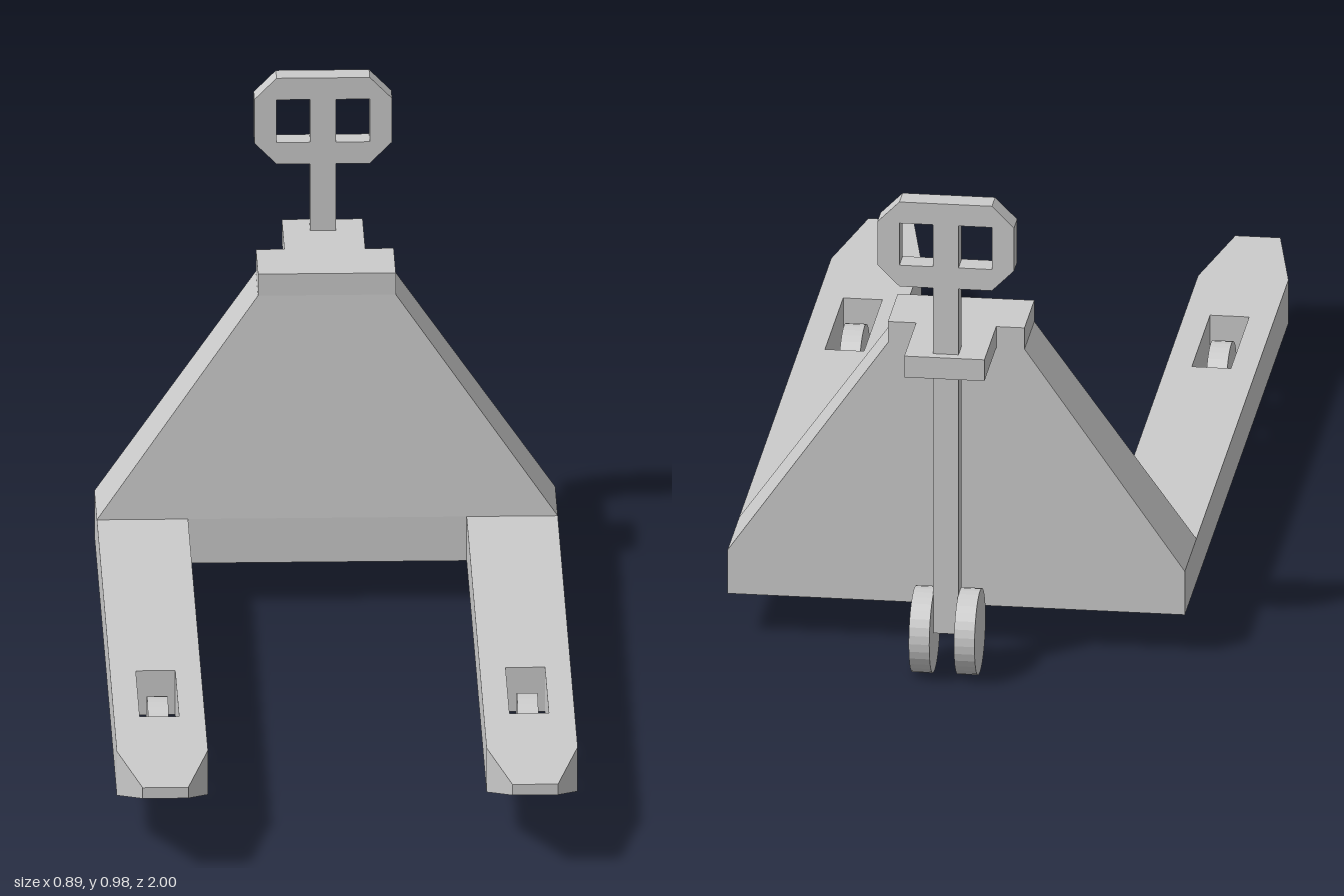
import * as THREE from 'three';

const material = new THREE.MeshStandardMaterial({ color: 0xcccccc, flatShading: true });

function add(parent, name, geometry) {
  const mesh = new THREE.Mesh(geometry, material);
  mesh.name = name;
  parent.add(mesh);
  return mesh;
}

// Box given by its limits on each axis
function block([x0, x1], [y0, y1], [z0, z1]) {
  return new THREE.BoxGeometry(x1 - x0, y1 - y0, z1 - z0)
    .translate((x0 + x1) / 2, (y0 + y1) / 2, (z0 + z1) / 2);
}

// Move every corner of a geometry by a rule
function reshape(geometry, rule) {
  const p = geometry.attributes.position;
  const v = new THREE.Vector3();
  for (let i = 0; i < p.count; i++) {
    rule(v.fromBufferAttribute(p, i));
    p.setXYZ(i, v.x, v.y, v.z);
  }
  geometry.computeVertexNormals();
  return geometry;
}

function rect(Type, x0, x1, y0, y1) {
  return new Type([[x0, y0], [x1, y0], [x1, y1], [x0, y1]].map(([x, y]) => new THREE.Vector2(x, y)));
}

function wheel(x, z) {
  return new THREE.CylinderGeometry(0.084, 0.084, 0.04, 32)
    .rotateZ(Math.PI / 2).translate(x, 0.084, z);
}

const BOTTOM = 0.085, DECK = 0.175, BACK = -0.78, FRONT = -0.605;
const FORK_X = 0.357, FORK_HALF = 0.088;

function makeFork(side) {
  const fork = new THREE.Group();
  fork.name = side > 0 ? 'leftFork' : 'rightFork';
  const cx = side * FORK_X;

  // Beam with a slot through it for the load wheel
  const outline = rect(THREE.Shape, cx - FORK_HALF, cx + FORK_HALF, FRONT, 0.78);
  outline.holes.push(rect(THREE.Path, cx - 0.038, cx + 0.038, 0.3, 0.575));
  const beam = new THREE.ExtrudeGeometry(outline, { depth: DECK - BOTTOM, bevelEnabled: false })
    .rotateX(Math.PI / 2).translate(0, DECK, 0);
  add(fork, 'forkBeam', beam);

  // Tip narrows at the sides and rises underneath
  const tip = block([cx - FORK_HALF, cx + FORK_HALF], [BOTTOM, DECK], [0.78, 1]);
  add(fork, 'forkTip', reshape(tip, v => {
    if (v.z < 0.9) return;
    v.x = cx + Math.sign(v.x - cx) * 0.044;
    if (v.y < 0.13) v.y = 0.153;
  }));

  add(fork, 'loadWheel', wheel(cx, 0.446));
  return fork;
}

export function createModel() {
  const model = new THREE.Group();
  model.name = 'palletTruck';

  for (const side of [-1, 1]) model.add(makeFork(side));

  // Chassis: cross beam, tapered housing and top plate with tongue
  const chassis = new THREE.Group();
  chassis.name = 'chassis';
  model.add(chassis);
  add(chassis, 'crossBeam', block([-0.445, 0.445], [BOTTOM, DECK], [BACK, FRONT]));
  const housing = block([-0.445, 0.445], [DECK, 0.62], [BACK, FRONT]);
  add(chassis, 'housing', reshape(housing, v => {
    if (v.y < 0.4) return;
    v.x = Math.sign(v.x) * 0.133;
    if (v.z > -0.7) v.z = -0.632;
  }));
  add(chassis, 'topPlate', block([-0.133, 0.133], [0.62, 0.664], [BACK, -0.632]));
  add(chassis, 'tongue', block([-0.078, 0.078], [0.62, 0.664], [-0.958, BACK]));

  // Steering post, wheels and handle
  const steering = new THREE.Group();
  steering.name = 'steering';
  model.add(steering);
  add(steering, 'post', block([-0.025, 0.025], [BOTTOM, 0.8], [-0.938, -0.89]));
  for (const side of [-1, 1]) {
    add(steering, side > 0 ? 'leftSteerWheel' : 'rightSteerWheel', wheel(side * 0.044, -0.916));
  }

  // Eight-sided handle with two windows
  const handle = new THREE.Shape([
    [-0.09, 0.8], [0.09, 0.8], [0.133, 0.843], [0.133, 0.932],
    [0.09, 0.975], [-0.09, 0.975], [-0.133, 0.932], [-0.133, 0.843],
  ].map(([x, y]) => new THREE.Vector2(x, y)));
  handle.holes.push(rect(THREE.Path, 0.025, 0.09, 0.844, 0.931));
  handle.holes.push(rect(THREE.Path, -0.09, -0.025, 0.844, 0.931));
  add(steering, 'handle', new THREE.ExtrudeGeometry(handle, { depth: 0.048, bevelEnabled: false })
    .translate(0, 0, -0.938));

  return model;
}
